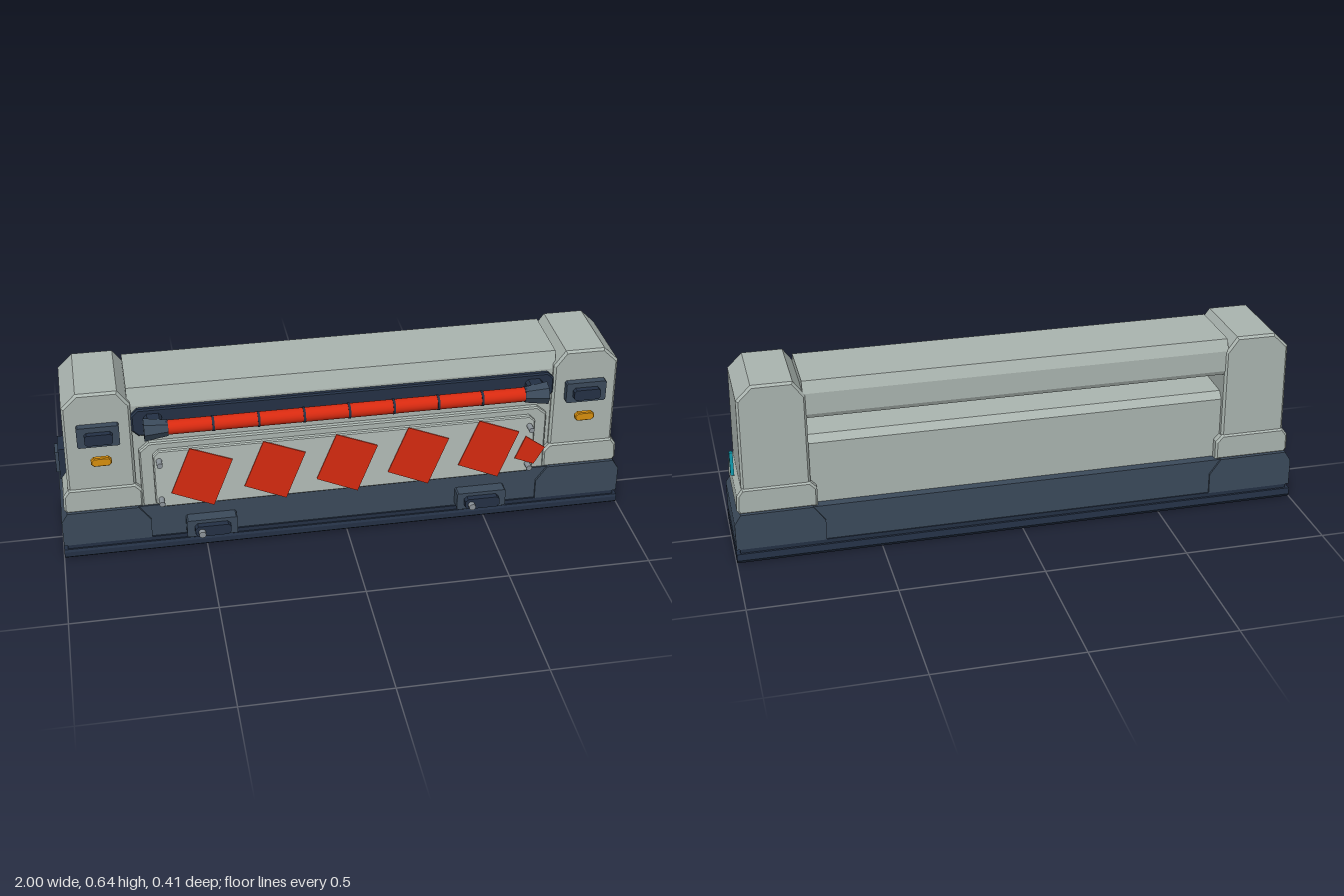
import * as THREE from 'three';

const material = (color, extra = {}) => new THREE.MeshStandardMaterial({ color, flatShading: true, ...extra });
const GREY = material(0xabb5b0), PLATE = material(0xb4beb9), NAVY = material(0x3b4a5b), DARK = material(0x243145);
const RED = material(0xd82a10), RED_ROUND = material(0xd82a10, { flatShading: false });
const AMBER = material(0xd8900f), TEAL = material(0x12a0b4), STEEL = material(0x8d959b, { flatShading: false });

export function createModel() {
  const group = new THREE.Group();

  const add = (name, geometry, mat) => {
    const mesh = new THREE.Mesh(geometry, mat);
    mesh.name = name;
    group.add(mesh);
    return mesh;
  };

  const shapeOf = (points) => new THREE.Shape(points.map(([x, y]) => new THREE.Vector2(x, y)));

  // Extrude an xy outline between two z values; the bevel stays inside the outline
  const slab = (name, points, z0, z1, mat, bevel = 0) => {
    const geometry = new THREE.ExtrudeGeometry(shapeOf(points), {
      depth: z1 - z0 - 2 * bevel, bevelEnabled: bevel > 0, bevelSize: bevel,
      bevelThickness: bevel, bevelOffset: -bevel, bevelSegments: 1,
    });
    geometry.translate(0, 0, z0 + bevel);
    return add(name, geometry, mat);
  };

  // Extrude a (z, y) section along x, centred on x = 0
  const rail = (name, section, halfLength, mat) => {
    const geometry = new THREE.ExtrudeGeometry(shapeOf(section.map(([z, y]) => [-z, y])), {
      depth: 2 * halfLength, bevelEnabled: false,
    });
    geometry.translate(0, 0, -halfLength).rotateY(Math.PI / 2);
    return add(name, geometry, mat);
  };

  // Rectangle with cut corners
  const cutRect = (x0, x1, y0, y1, c) => [
    [x0 + c, y0], [x1 - c, y0], [x1, y0 + c], [x1, y1 - c],
    [x1 - c, y1], [x0 + c, y1], [x0, y1 - c], [x0, y0 + c],
  ];

  const bolt = (name, x, y, z0, z1, radius) => {
    const mesh = add(name, new THREE.CylinderGeometry(radius, radius, z1 - z0, 16), STEEL);
    mesh.rotation.x = Math.PI / 2;
    mesh.position.set(x, y, (z0 + z1) / 2);
  };

  // Base: skirting, shadow strip and body with heavier end blocks
  rail('skirting', [[0.13, 0], [-0.195, 0], [-0.203, 0.012], [-0.2, 0.035], [0.134, 0.035], [0.139, 0.027], [0.139, 0.008]], 0.998, DARK);
  rail('shadowStrip', [[0.128, 0.035], [-0.192, 0.035], [-0.192, 0.05], [0.128, 0.05]], 0.985, DARK);
  rail('baseMiddle', [[0.122, 0.05], [-0.188, 0.05], [-0.188, 0.178], [0.122, 0.178]], 0.75, NAVY);

  for (const s of [-1, 1]) {
    const side = s > 0 ? 'left' : 'right';
    // Mirrored outlines are reversed so their winding stays the same
    const mirror = (points) => (s > 0 ? points : points.map(([x, y]) => [-x, y]).reverse());

    slab(side + 'BaseBlock', mirror([[0.69, 0.05], [0.997, 0.05], [0.997, 0.145], [0.975, 0.18], [0.73, 0.18], [0.69, 0.125]]),
      -0.195, 0.13, NAVY);

    // End post and flared foot
    slab(side + 'Post', mirror([[0.732, 0.18], [0.966, 0.18], [0.961, 0.59], [0.91, 0.64], [0.772, 0.64], [0.732, 0.585]]),
      -0.178, 0.115, GREY, 0.008);
    slab(side + 'PostFoot', mirror([[0.712, 0.176], [0.975, 0.176], [0.985, 0.19], [0.982, 0.245], [0.964, 0.27], [0.735, 0.27], [0.712, 0.245]]),
      -0.184, 0.121, GREY, 0.007);

    // Post lamp housing and amber marker
    slab(side + 'PostHousing', mirror(cutRect(0.775, 0.918, 0.448, 0.525, 0.005)), 0.11, 0.14, NAVY);
    slab(side + 'PostHousingFace', mirror(cutRect(0.798, 0.893, 0.466, 0.506, 0.008)), 0.135, 0.16, DARK);
    slab(side + 'AmberMarker', mirror(cutRect(0.808, 0.878, 0.38, 0.412, 0.01)), 0.139, 0.157, AMBER, 0.003);

    // Latch on the base
    slab(side + 'Latch', mirror(cutRect(0.393, 0.57, 0.058, 0.125, 0.005)), 0.118, 0.165, NAVY);
    slab(side + 'LatchFace', mirror(cutRect(0.418, 0.543, 0.071, 0.112, 0.01)), 0.16, 0.187, DARK);
    bolt(side + 'LatchPin', s > 0 ? 0.44 : -0.52, 0.09, 0.18, 0.205, 0.012);

    // Plate bolts
    for (const y of [0.21, 0.367]) bolt(side + 'PlateBolt', s * 0.65, y, 0.134, 0.17, 0.01);

    // Tapered end cap of the light tube and the arm holding it
    const cap = add(side + 'TubeCap', new THREE.CylinderGeometry(0.04, 0.028, 0.08, 7), NAVY);
    cap.rotation.z = -s * Math.PI / 2;
    cap.position.set(s * 0.655, 0.515, 0.165);
    slab(side + 'TubeArm', mirror(cutRect(0.63, 0.69, 0.49, 0.545, 0.01)), 0.1, 0.16, DARK);
  }

  // Top beam with sloping shoulders
  rail('topBeam', [[0.098, 0.5], [-0.165, 0.5], [-0.172, 0.515], [-0.172, 0.59], [-0.155, 0.63], [0.08, 0.63], [0.1, 0.57]], 0.742, GREY);
  // Lower wall with a ledge, rising to the wall behind the light tube
  rail('lowerWall', [[0.1, 0.176], [-0.155, 0.176], [-0.155, 0.4], [-0.135, 0.425], [0.03, 0.43], [0.03, 0.51], [0.1, 0.51]], 0.74, GREY);

  // Front panel and raised plate
  slab('frontPanel', [[-0.715, 0.176], [0.715, 0.176], [0.715, 0.4], [0.68, 0.43], [-0.68, 0.43], [-0.715, 0.4]], 0.09, 0.12, GREY, 0.005);
  slab('frontPlate', cutRect(-0.67, 0.67, 0.176, 0.405, 0.02), 0.115, 0.136, PLATE, 0.004);

  // Slanted warning patches
  const patch = [[-0.035, 0.12], [-0.105, -0.055], [0.04, -0.12], [0.11, 0.06]];
  for (let i = 0; i < 5; i++) {
    const x = -0.51 + i * 0.253;
    slab('warningPatch', patch.map(([px, py]) => [x + px, 0.29 + py]), 0.14, 0.144, RED);
  }
  slab('smallWarningPatch', [[0.638, 0.328], [0.602, 0.24], [0.672, 0.21], [0.71, 0.275]], 0.14, 0.144, RED);

  // Dark recess panel with the red light tube and its rings
  slab('recessPanel', cutRect(-0.733, 0.733, 0.46, 0.563, 0.022), 0.085, 0.117, DARK, 0.005);
  const tube = add('lightTube', new THREE.CylinderGeometry(0.025, 0.025, 1.25, 20), RED_ROUND);
  tube.rotation.z = Math.PI / 2;
  tube.position.set(0, 0.515, 0.163);
  for (let i = -4; i <= 4; i++) {
    const ring = add('tubeRing', new THREE.CylinderGeometry(0.027, 0.027, 0.008, 20), DARK);
    ring.rotation.z = Math.PI / 2;
    ring.position.set(i * 0.1545, 0.515, 0.163);
  }

  // Side fittings: teal strip on the left end, control box on the right end
  const box = (name, w, h, d, x, y, z, mat) => add(name, new THREE.BoxGeometry(w, h, d), mat).position.set(x, y, z);
  box('tealStrip', 0.012, 0.085, 0.015, 0.982, 0.302, -0.042, TEAL);
  box('controlBox', 0.025, 0.12, 0.09, -0.975, 0.3, -0.05, DARK);
  box('controlBoxFace', 0.014, 0.08, 0.06, -0.992, 0.3, -0.05, NAVY);

  // Centre the depth of the whole model
  group.children.forEach((mesh) => { mesh.position.z -= 0.001; });
  return group;
}
